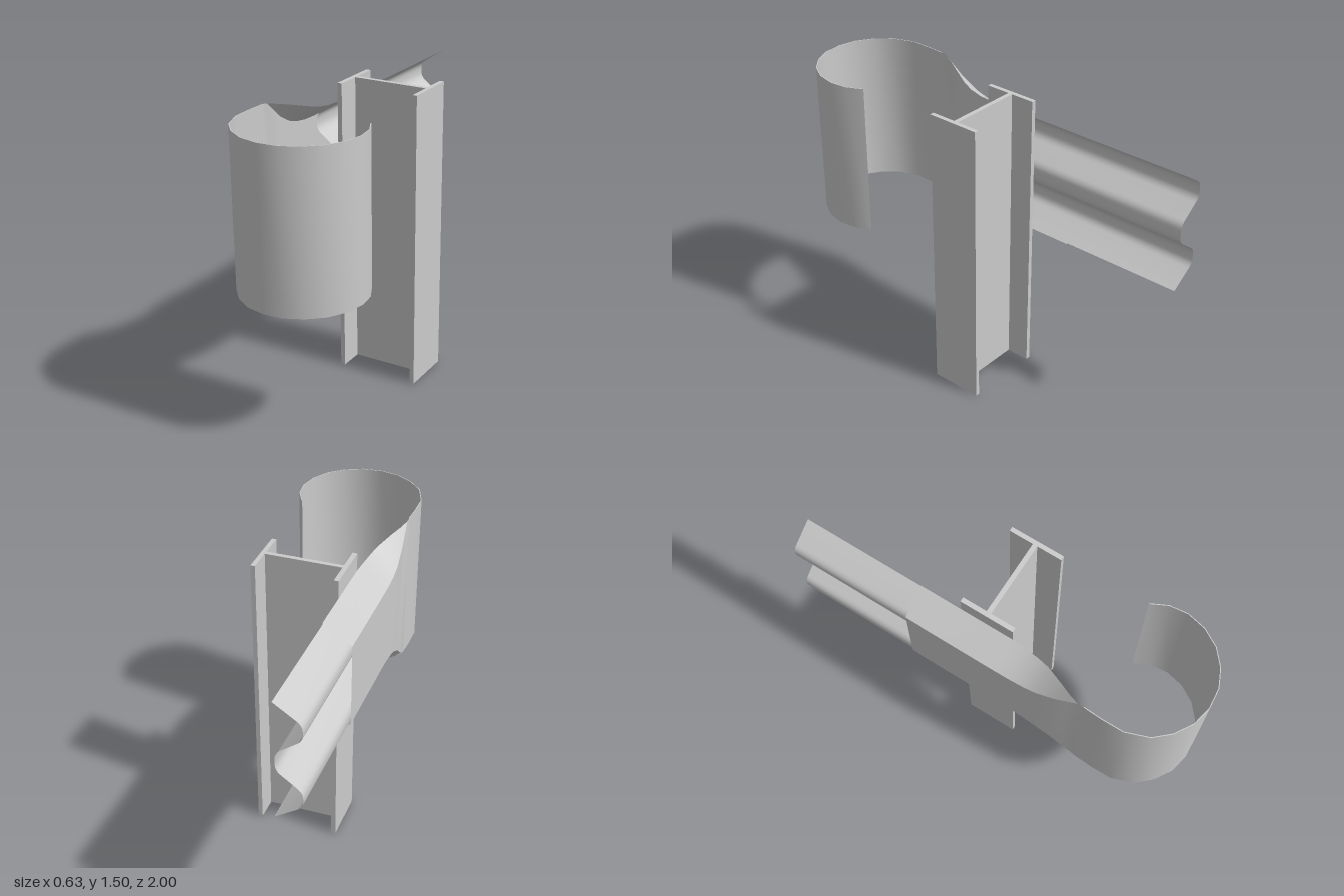
import * as THREE from 'three';
import { toCreasedNormals } from 'three/addons/utils/BufferGeometryUtils.js';

const steel = new THREE.MeshStandardMaterial({ color: 0xcccccc });
const sheetSteel = new THREE.MeshStandardMaterial({ color: 0xcccccc, side: THREE.DoubleSide });
const MID = 1.107; // height of the rail's centre line

// Skin a row of equal-length cross-sections into one open sheet.
function loft(name, sections, crease) {
  const n = sections[0].length;
  const index = [];
  for (let i = 0; i < sections.length - 1; i++) {
    for (let j = 0; j < n - 1; j++) {
      const a = i * n + j, b = a + n;
      index.push(a, b, a + 1, b, b + 1, a + 1);
    }
  }
  const geometry = new THREE.BufferGeometry();
  geometry.setAttribute('position', new THREE.Float32BufferAttribute(sections.flat(2), 3));
  geometry.setIndex(index);
  const mesh = new THREE.Mesh(toCreasedNormals(geometry, crease), sheetSteel);
  mesh.name = name;
  return mesh;
}

// Replace each inner corner of a polyline with a small curve.
function roundCorners(points, radius) {
  const v = points.map(p => new THREE.Vector2(...p));
  const out = [v[0]];
  for (let i = 1; i < v.length - 1; i++) {
    const a = v[i].clone().add(v[i - 1].clone().sub(v[i]).setLength(radius));
    const b = v[i].clone().add(v[i + 1].clone().sub(v[i]).setLength(radius));
    out.push(...new THREE.QuadraticBezierCurve(a, v[i], b).getPoints(4));
  }
  out.push(v[v.length - 1]);
  return out;
}

function box(name, x0, x1, z0, z1, height) {
  const mesh = new THREE.Mesh(new THREE.BoxGeometry(x1 - x0, height, z1 - z0), steel);
  mesh.position.set((x0 + x1) / 2, height / 2, (z0 + z1) / 2);
  mesh.name = name;
  return mesh;
}

export function createModel() {
  const model = new THREE.Group();

  // I-section post
  const post = new THREE.Group();
  post.name = 'post';
  post.add(
    box('railSideFlange', -0.175, -0.152, -0.165, 0.105, 1.505),
    box('farSideFlange', 0.228, 0.25, -0.165, 0.105, 1.505),
    box('web', -0.152, 0.228, -0.043, -0.02, 1.505)
  );
  model.add(post);

  // Corrugated rail: two crests facing away from the post
  const half = [[-0.178, 0.303], [-0.311, 0.215], [-0.311, 0.138], [-0.185, 0.045]];
  const wave = [...half, ...half.slice().reverse().map(([x, y]) => [x, -y])];
  const profile = roundCorners(wave, 0.03);
  model.add(loft('rail', [-1, 0.08].map(z => profile.map(p => [p.x, MID + p.y, z])), 0.7));

  // Sleeve: a flat face with folded edges that opens out to the full sheet height.
  // Each row: z, face x, fold half-height, edge x, edge half-height
  const stations = [
    [-0.38, -0.315, 0.213, -0.175, 0.306],
    [0.1, -0.315, 0.213, -0.175, 0.306],
    [0.18, -0.315, 0.216, -0.181, 0.308],
    [0.25, -0.315, 0.227, -0.192, 0.317],
    [0.31, -0.314, 0.245, -0.209, 0.333],
    [0.4, -0.308, 0.295, -0.25, 0.359],
    [0.46, -0.303, 0.345, -0.279, 0.374],
    [0.51, -0.299, 0.381, -0.298, 0.386],
    [0.54, -0.301, 0.385, -0.301, 0.392]
  ];
  model.add(loft('flaredSleeve', stations.map(([z, fx, fy, ex, ey]) => [
    [ex, MID + ey, z], [fx, MID + fy, z], [fx, MID - fy, z], [ex, MID - ey, z]
  ]), 0.4));

  // Curled end sheet, drawn as its plan outline
  const plan = [
    [-0.301, 0.54], [-0.306, 0.63], [-0.305, 0.74], [-0.265, 0.85], [-0.2, 0.922],
    [-0.115, 0.975], [-0.018, 0.996], [0.08, 0.987], [0.168, 0.947], [0.24, 0.885],
    [0.29, 0.8], [0.311, 0.705], [0.3, 0.615], [0.26, 0.535]
  ];
  const inset = 0.004; // sheet thickness
  const outer = plan.map(([x, z]) => new THREE.Vector2(x, z));
  const centre = new THREE.Vector2(0, 0.7);
  const inner = outer.map(p => p.clone().add(centre.clone().sub(p).setLength(inset)));
  model.add(loft('curledEnd', outer.map((p, i) => [
    [inner[i].x, 0.715, inner[i].y], [p.x, 0.715, p.y],
    [p.x, 1.499, p.y], [inner[i].x, 1.499, inner[i].y], [inner[i].x, 0.715, inner[i].y]
  ]), 0.7));

  return model;
}
